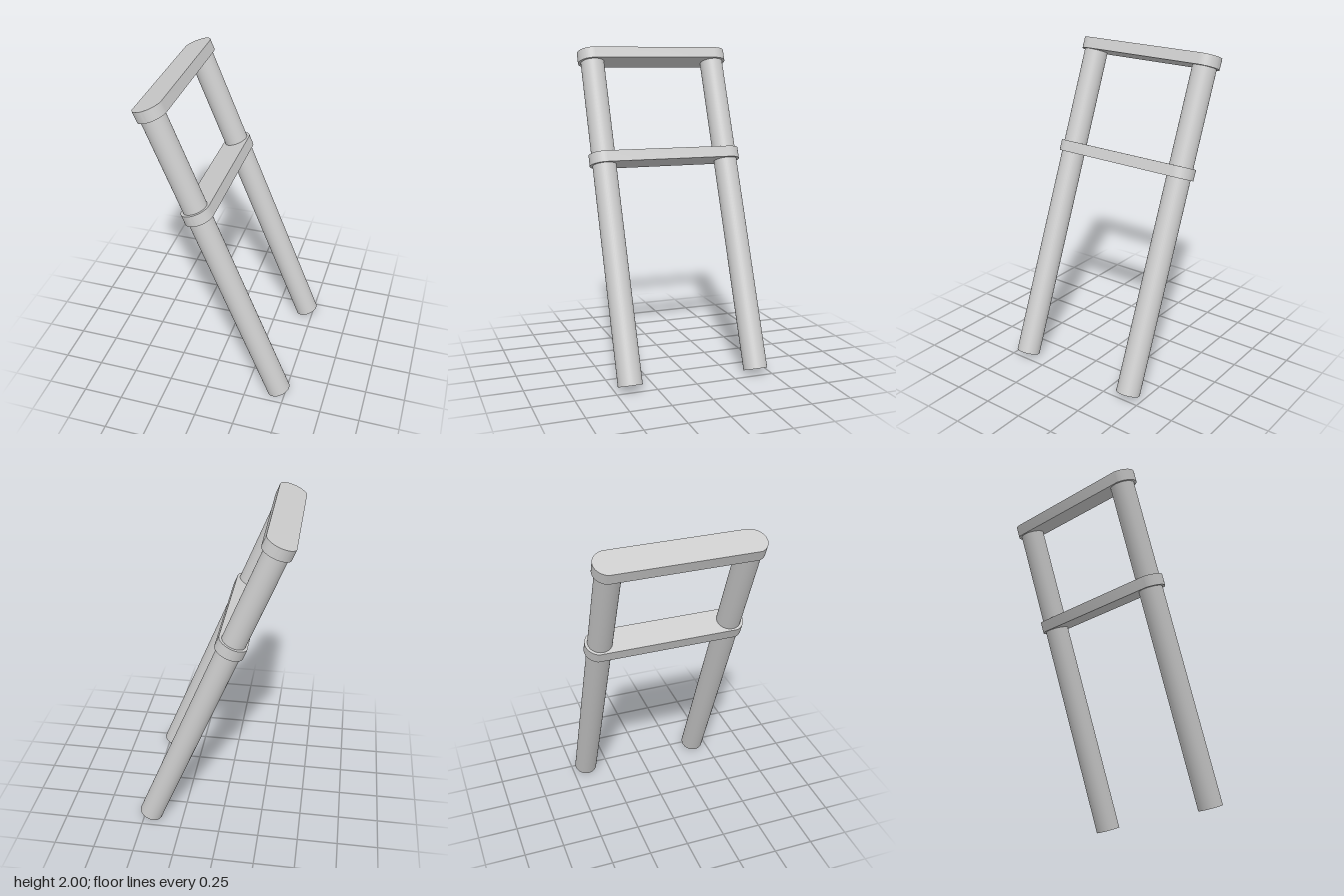
import * as THREE from 'three';
import { toCreasedNormals } from 'three/addons/utils/BufferGeometryUtils.js';

const TILT = THREE.MathUtils.degToRad(22);
const POLE_Z = 0.406, POLE_R = 0.074, POLE_LENGTH = 2.05;
const END_R = 0.091, TIP_X = -0.22, THICKNESS = 0.07;

// Rounded at both pole ends, straight on one side, drawn out to a point on the other
function plateGeometry() {
  const d = Math.hypot(TIP_X, POLE_Z);
  const tangent = Math.atan2(POLE_Z, -TIP_X) + Math.asin(END_R / d) + Math.PI / 2;
  const shape = new THREE.Shape();
  shape.moveTo(TIP_X, 0);
  shape.absarc(0, -POLE_Z, END_R, -tangent, 0, false);
  shape.absarc(0, POLE_Z, END_R, 0, tangent, false);
  shape.closePath();
  const geometry = new THREE.ExtrudeGeometry(shape, { depth: THICKNESS, bevelEnabled: false, curveSegments: 24 });
  geometry.rotateX(-Math.PI / 2);
  return toCreasedNormals(geometry, 0.45);
}

export function createModel() {
  const material = new THREE.MeshStandardMaterial({ color: 0xcccccc });
  const model = new THREE.Group();
  model.name = 'twinPoleFrame';

  // Everything is built upright, then leaned over
  const frame = new THREE.Group();
  frame.name = 'leaningFrame';
  frame.position.set(0.457, 0.028, 0);
  frame.rotation.z = TILT;
  model.add(frame);

  // Pair of round poles
  const poleGeometry = new THREE.CylinderGeometry(POLE_R, POLE_R, POLE_LENGTH, 48);
  for (const [name, side] of [['frontPole', 1], ['backPole', -1]]) {
    const pole = new THREE.Mesh(poleGeometry, material);
    pole.name = name;
    pole.position.set(0, POLE_LENGTH / 2, side * POLE_Z);
    frame.add(pole);
  }

  // Two identical plates joining the poles
  const plate = plateGeometry();
  for (const [name, y] of [['topPlate', 2.02], ['middlePlate', 1.346]]) {
    const mesh = new THREE.Mesh(plate, material);
    mesh.name = name;
    mesh.position.y = y;
    frame.add(mesh);
  }
  return model;
}
